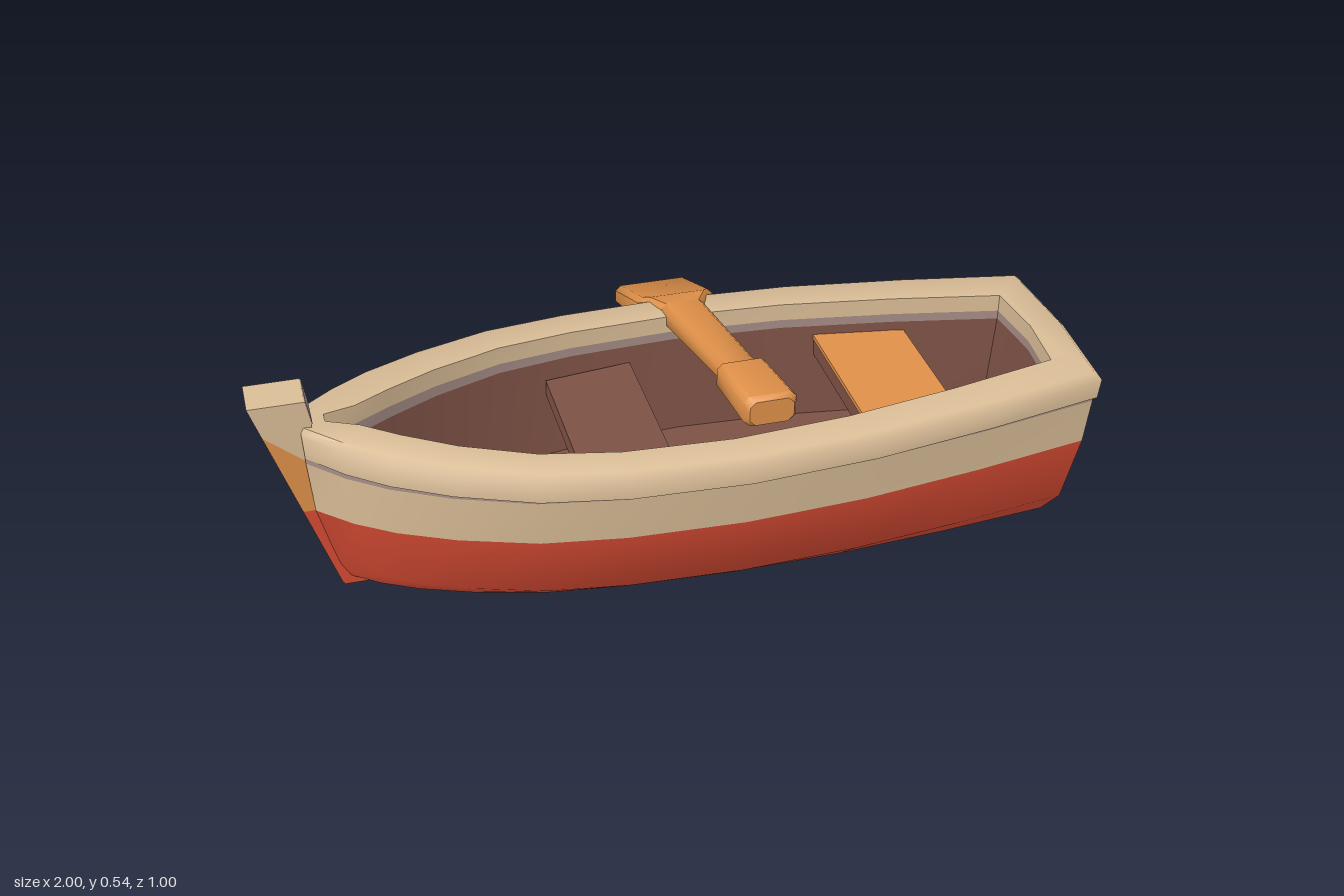
import * as THREE from 'three';
import { toCreasedNormals } from 'three/addons/utils/BufferGeometryUtils.js';

const material = (name, color) => Object.assign(new THREE.MeshStandardMaterial({ color }), { name });

// Skin through closed rings of equal point count, smooth except at sharp edges
function loft(rings, crease = 0.9) {
  const out = [];
  for (let i = 0; i < rings.length - 1; i++) {
    const n = rings[i].length;
    for (let j = 0; j < n; j++) {
      const k = (j + 1) % n;
      const a = rings[i][j], b = rings[i][k], c = rings[i + 1][j], d = rings[i + 1][k];
      out.push(...a, ...b, ...d, ...a, ...d, ...c);
    }
  }
  const g = new THREE.BufferGeometry();
  g.setAttribute('position', new THREE.Float32BufferAttribute(out, 3));
  return toCreasedNormals(g, crease);
}

// Half beam of the boat along its length: [x, half width]
const PLAN = [[-0.88, 0.045], [-0.8, 0.125], [-0.71, 0.19], [-0.58, 0.257], [-0.4, 0.323], [-0.2, 0.356],
  [0.08, 0.369], [0.38, 0.35], [0.68, 0.305], [0.97, 0.25]];

// One horizontal ring of the boat; the sheer lifts it toward the bow
function ring({ y, bow, stern, scale = 1, inset = 0, sheer = 0 }) {
  const side = PLAN.map(([x, w]) => {
    const t = (x + 0.88) / 1.85;
    const s = scale + (scale > 0 ? (1 - scale) * 0.6 * t ** 3 : 0);
    const half = w - inset * Math.min(1, w / 0.14);
    return [bow + (stern - bow) * t, y + sheer * Math.max(0, 1 - 2 * t) ** 2, half * s];
  });
  return [...side, [stern + 0.015, y, 0], ...side.slice().reverse().map(([x, h, z]) => [x, h, -z])];
}

// Flat profile in x and y, extruded across the boat
function slabXY(points, width) {
  const shape = new THREE.Shape(points.map(p => new THREE.Vector2(...p)));
  return new THREE.ExtrudeGeometry(shape, { depth: width, bevelEnabled: false }).translate(0, 0, -width / 2);
}

export function createModel() {
  const red = material('red paint', 0xd54a33);
  const cream = material('cream paint', 0xdabd97);
  const wood = material('orange wood', 0xdf9049);
  const brown = material('dark brown wood', 0x7d5145);
  const mauve = material('weathered mauve', 0xa58c86);

  const model = new THREE.Group();
  model.name = 'rowingBoat';
  const group = (name, z) => {
    const g = new THREE.Group();
    g.name = name;
    g.position.z = z;
    model.add(g);
    return g;
  };
  const add = (parent, name, geometry, mat) => {
    const mesh = new THREE.Mesh(geometry, mat);
    mesh.name = name;
    parent.add(mesh);
  };
  const boat = group('boat', 0.131);
  const spine = group('spine', 0.12);
  const oar = group('oar', 0);

  // Hull levels from the bottom up
  const middle = ring({ y: 0.022, bow: -0.82, stern: 0.88, scale: 0 });
  const bottom = ring({ y: 0.022, bow: -0.82, stern: 0.88, scale: 0.68 });
  const chine = ring({ y: 0.065, bow: -0.835, stern: 0.92, scale: 0.83 });
  const water = ring({ y: 0.23, bow: -0.875, stern: 0.955, scale: 0.92 });
  const strake = ring({ y: 0.347, bow: -0.885, stern: 0.965, scale: 0.96, sheer: 0.02 });
  const seam = ring({ y: 0.36, bow: -0.885, stern: 0.965, scale: 0.96, sheer: 0.025 });
  add(boat, 'hullBottom', loft([middle, bottom]), wood);
  add(boat, 'lowerHull', loft([bottom, chine, water]), red);
  add(boat, 'upperHull', loft([water, strake]), cream);
  add(boat, 'seamUnderRail', loft([strake, seam]), mauve);

  // Rail, wrapping over from the outside to the inside
  const railInner = { bow: -0.83, stern: 0.89, inset: 0.095 };
  const lip = ring({ ...railInner, y: 0.375, sheer: 0.03 });
  add(boat, 'rail', loft([
    seam,
    ring({ y: 0.357, bow: -0.885, stern: 0.974, sheer: 0.025 }),
    ring({ y: 0.407, bow: -0.888, stern: 0.98, sheer: 0.04 }),
    ring({ y: 0.422, bow: -0.88, stern: 0.965, inset: 0.015, sheer: 0.04 }),
    ring({ ...railInner, y: 0.42, sheer: 0.035 }),
    lip]), cream);

  // Inside walls and floor
  const wallTop = ring({ ...railInner, y: 0.352, sheer: 0.02 });
  const floor = { y: 0.1, bow: -0.78, stern: 0.87, inset: 0.095 };
  const floorEdge = ring({ ...floor, scale: 0.9 });
  add(boat, 'innerSeam', loft([lip, wallTop]), mauve);
  add(boat, 'innerWall', loft([wallTop, floorEdge]), brown);
  add(boat, 'floor', loft([floorEdge, ring({ ...floor, scale: 0 })]), brown);

  // Thwarts tapering with the hull
  function thwart(name, x0, x1, w0, w1, y, thick, mat) {
    const shape = new THREE.Shape([[x0, -w0], [x1, -w1], [x1, w1], [x0, w0]].map(p => new THREE.Vector2(...p)));
    const g = new THREE.ExtrudeGeometry(shape, { depth: thick, bevelEnabled: false });
    add(boat, name, g.rotateX(-Math.PI / 2).translate(0, y - thick, 0), mat);
  }
  thwart('sternSeat', 0.425, 0.655, 0.255, 0.215, 0.328, 0.012, wood);
  thwart('sternSeatBase', 0.427, 0.653, 0.25, 0.21, 0.317, 0.045, brown);
  thwart('middleSeat', -0.27, -0.05, 0.235, 0.262, 0.31, 0.045, brown);

  // Keel, with a bare wood underside, and raked stem post
  add(spine, 'keel', new THREE.BoxGeometry(1.71, 0.03, 0.1).translate(0.025, 0.015, 0),
    [red, red, red, wood, red, red]);
  const rake = y => -1 + (0.53 - y) * 0.32;
  add(spine, 'lowerStem', slabXY([[rake(0.005), 0.005], [-0.76, 0.005], [-0.81, 0.23], [rake(0.23), 0.23]], 0.1), red);
  add(spine, 'middleStem', slabXY([[rake(0.23), 0.23], [-0.82, 0.23], [-0.86, 0.35], [rake(0.45), 0.45]], 0.1), wood);
  add(spine, 'stemHead', slabXY([[rake(0.45), 0.45], [-0.86, 0.35], [-0.862, 0.47], [-0.872, 0.53], [-1, 0.53]], 0.1), cream);
  add(spine, 'stemHeadBack', new THREE.BoxGeometry(0.004, 0.062, 0.1)
    .rotateZ(0.165).translate(-0.866, 0.499, 0), mauve);

  // Oar: bevelled sections [z, centre x, half width, top, bottom] from blade tip to grip
  const section = ([z, cx, w, top, low]) => {
    const h = (top - low) / 2, cy = (top + low) / 2, b = Math.min(0.014, w, h);
    return [[w, b - h], [w, h - b], [w - b, h], [b - w, h], [-w, h - b], [-w, b - h], [b - w, -h], [w - b, -h]]
      .map(([x, y]) => [cx + x, cy + y, z]);
  };
  const oarPart = (name, list) => {
    const tip = ([z, x, , t, l]) => [z, x, 0, (t + l) / 2, (t + l) / 2];
    add(oar, name, loft([tip(list[0]), ...list, tip(list.at(-1))].map(section), 0.8), wood);
  };
  oarPart('oarBlade', [
    [-0.5, 0.1, 0.085, 0.305, 0.268],
    [-0.485, 0.1, 0.098, 0.32, 0.26],
    [-0.25, 0.1, 0.098, 0.42, 0.345],
    [-0.23, 0.1, 0.085, 0.43, 0.355],
    [-0.175, 0.1, 0.055, 0.437, 0.375]]);
  oarPart('oarShaft', [
    [-0.18, 0.1, 0.055, 0.437, 0.375],
    [0.24, 0.128, 0.045, 0.505, 0.447]]);
  oarPart('oarGrip', [
    [0.232, 0.128, 0.06, 0.511, 0.44],
    [0.415, 0.138, 0.062, 0.535, 0.457],
    [0.43, 0.139, 0.052, 0.527, 0.465]]);

  return model;
}
